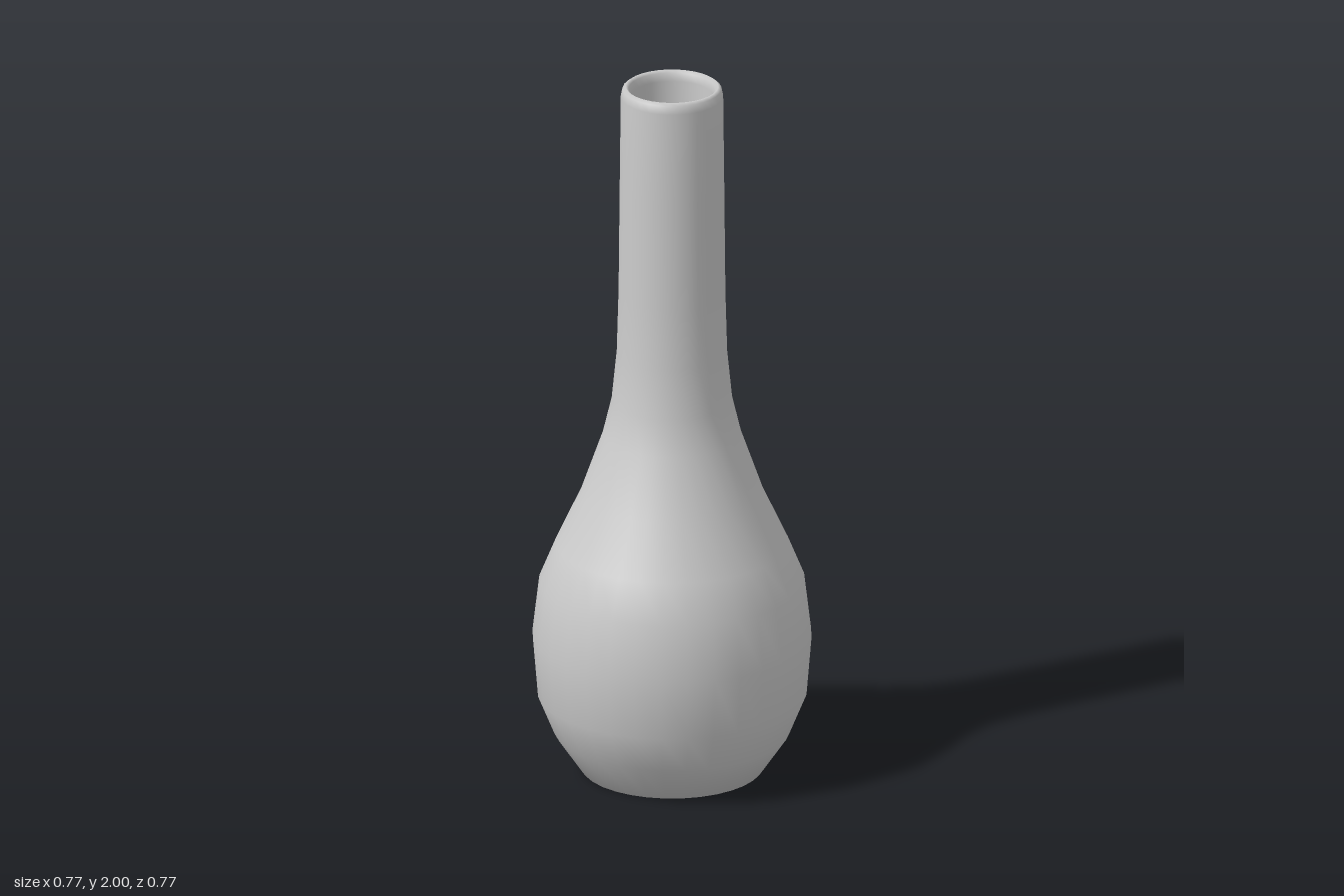
import * as THREE from 'three';

export function createModel() {
  const group = new THREE.Group();
  group.name = 'bottleVase';
  const material = new THREE.MeshStandardMaterial({ color: 0xcccccc });

  // Closed profile [radius, height]: base, outer wall, rim, then the hollow inside
  const outer = [
    [0, 0], [0.25, 0], [0.325, 0.11], [0.37, 0.22], [0.384, 0.39], [0.365, 0.55],
    [0.32, 0.66], [0.25, 0.81], [0.19, 0.98], [0.166, 1.08], [0.152, 1.22],
    [0.147, 1.4], [0.144, 1.7], [0.141, 1.97],
  ];
  const rim = [[0.136, 1.993], [0.127, 2], [0.119, 1.993], [0.114, 1.97]];
  const inner = [
    [0.114, 1.7], [0.117, 1.4], [0.122, 1.22], [0.136, 1.08], [0.16, 0.98],
    [0.22, 0.81], [0.288, 0.66], [0.333, 0.55], [0.352, 0.39], [0.338, 0.22],
    [0.3, 0.13], [0.23, 0.04], [0, 0.03],
  ];
  const points = [...outer, ...rim, ...inner].map(([r, y]) => new THREE.Vector2(r, y));

  const body = new THREE.Mesh(new THREE.LatheGeometry(points, 32), material);
  body.name = 'vaseBody';
  group.add(body);
  return group;
}
